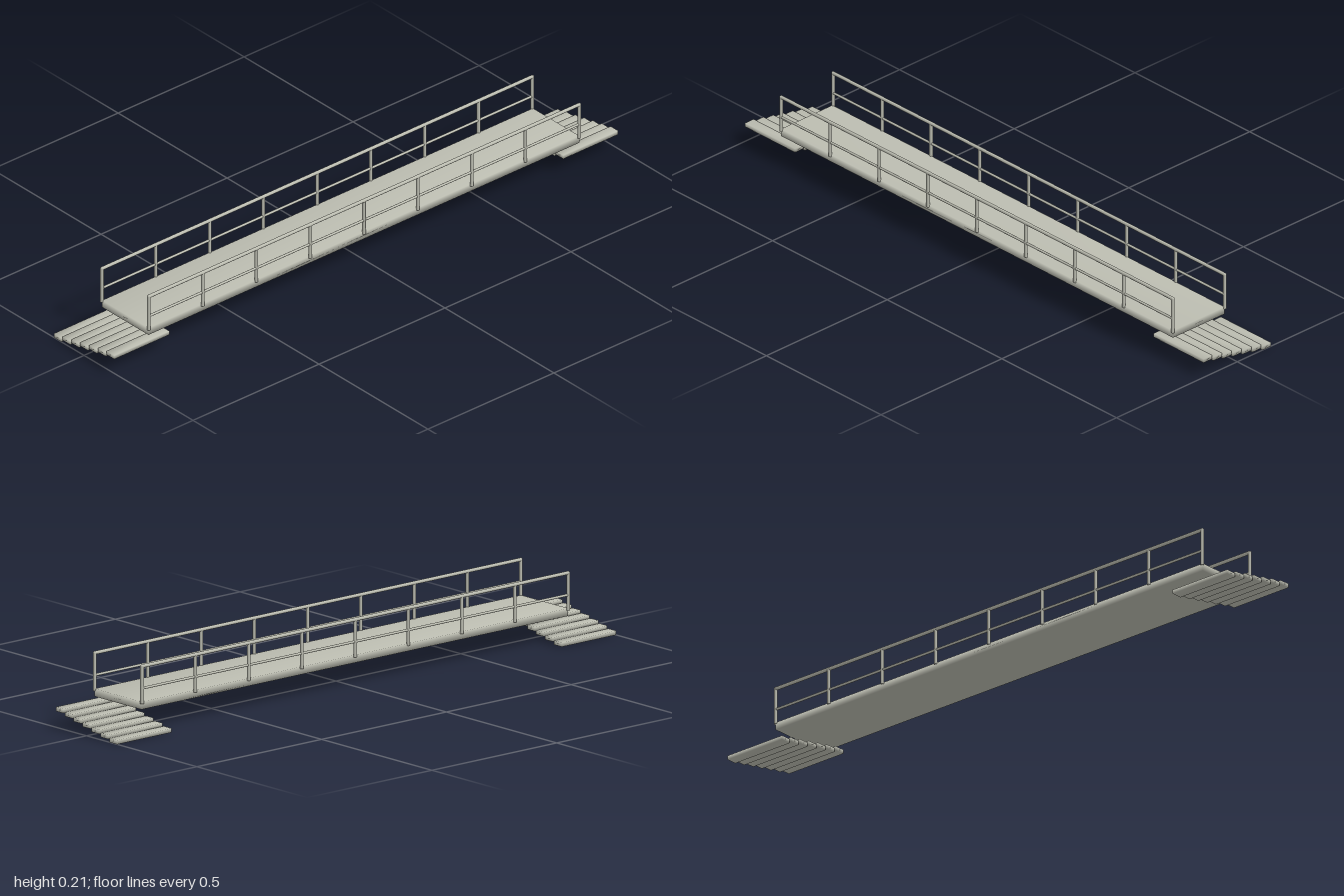
import * as THREE from 'three';
import { mergeVertices } from 'three/addons/utils/BufferGeometryUtils.js';

const metal = new THREE.MeshStandardMaterial({ color: 0xbcbdb1 });
metal.name = 'pale grey metal';

function add(parent, name, geometry, x, y, z) {
  const mesh = new THREE.Mesh(geometry, metal);
  mesh.name = name;
  mesh.position.set(x, y, z);
  parent.add(mesh);
  return mesh;
}

// Box whose faces share corner normals, for soft shading
function softBox(w, h, d) {
  const g = new THREE.BoxGeometry(w, h, d);
  g.deleteAttribute('normal');
  g.deleteAttribute('uv');
  const merged = mergeVertices(g);
  merged.computeVertexNormals();
  return merged;
}

export function createModel() {
  const model = new THREE.Group();
  model.name = 'footbridge';

  // Walkway
  add(model, 'deck', softBox(1.71, 0.024, 0.213), 0, 0.085, 0.0215);

  // Tubular railings along both edges
  const r = 0.0055, halfLength = 0.854, railY = 0.2075, postBottom = 0.091, posts = 9;
  const postHeight = railY - postBottom;
  for (const z of [0.1285, -0.0865]) {
    const railing = new THREE.Group();
    railing.name = z > 0 ? 'frontRailing' : 'backRailing';
    model.add(railing);

    for (let i = 0; i < posts; i++) {
      const x = -halfLength + (2 * halfLength * i) / (posts - 1);
      add(railing, 'post', new THREE.CylinderGeometry(r, r, postHeight, 12), x, postBottom + postHeight / 2, z);
    }
    const rail = (name, radius, y) => {
      add(railing, name, new THREE.CylinderGeometry(radius, radius, 2 * halfLength, 12), 0, y, z).rotation.z = Math.PI / 2;
    };
    rail('topRail', r, railY);
    rail('middleRail', 0.004, 0.139);
    for (const s of [-1, 1]) {
      add(railing, 'elbow', new THREE.SphereGeometry(r, 12, 8), s * halfLength, railY, z);
    }
  }

  // Stairs under each end, climbing toward the front
  const steps = 7;
  for (const s of [-1, 1]) {
    const stairs = new THREE.Group();
    stairs.name = s > 0 ? 'leftStairs' : 'rightStairs';
    model.add(stairs);
    for (let i = 0; i < steps; i++) {
      add(stairs, 'step', softBox(0.218, 0.013, 0.035), s * 0.891, 0.0065 + i * 0.0083, -0.1215 + i * 0.0405);
    }
  }
  return model;
}
